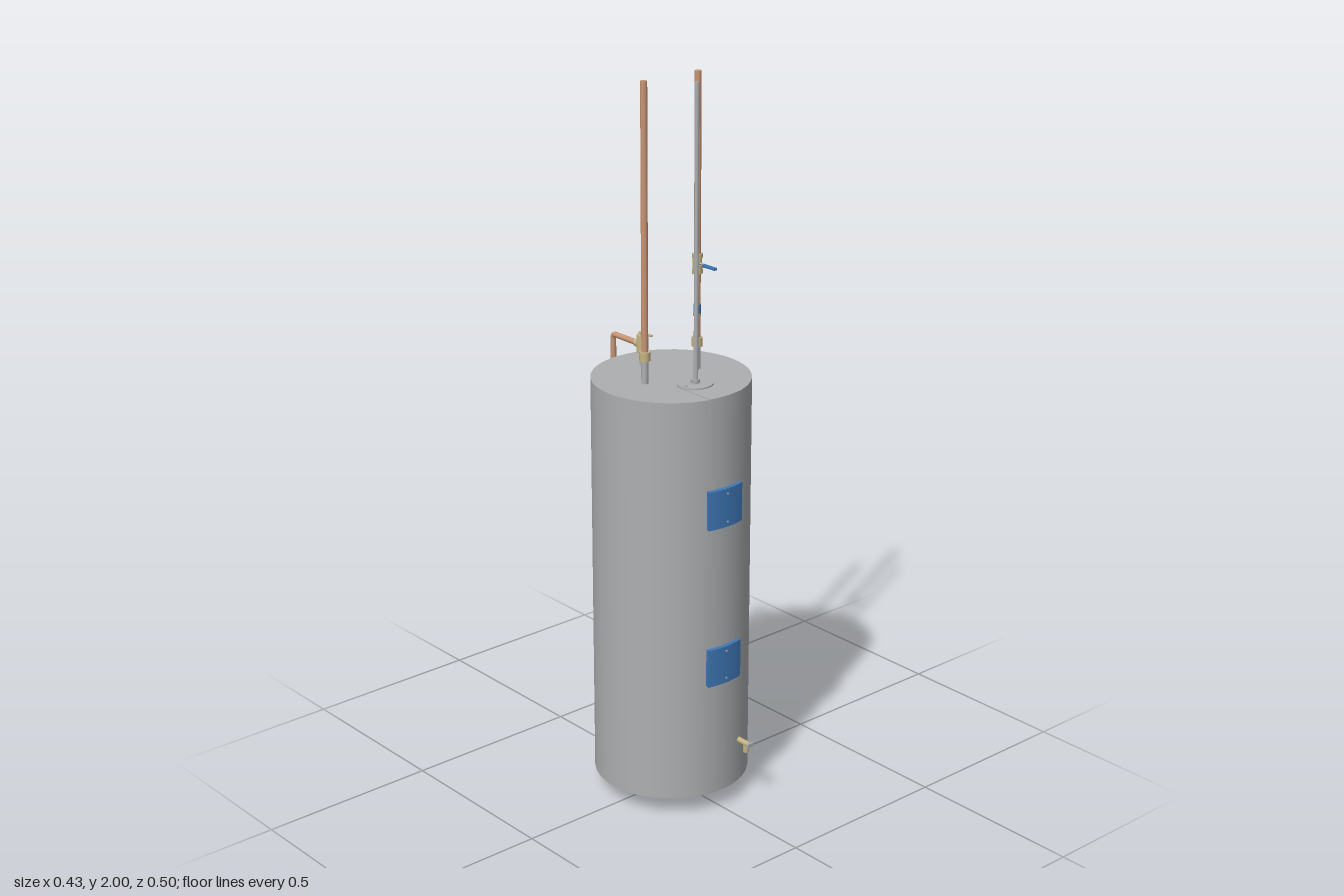
import * as THREE from 'three';

const mat = (name, color, side = THREE.FrontSide) => {
  const m = new THREE.MeshStandardMaterial({ color, side });
  m.name = name;
  return m;
};

export function createModel() {
  const root = new THREE.Group();
  root.name = 'waterHeater';
  const steel = mat('grey steel', 0xadafb1);
  const copper = mat('copper', 0xc79474);
  const brass = mat('brass', 0xc4b483);
  const blue = mat('blue', 0x3f78b8);
  const tankZ = -0.004, tankR = 0.213;

  const add = (name, geo, material, x = 0, y = 0, z = 0, parent = root) => {
    const m = new THREE.Mesh(geo, material);
    m.name = name;
    m.position.set(x, y, z);
    parent.add(m);
    return m;
  };
  // Upright cylinder between two heights
  const post = (name, r, y0, y1, x, z, material, sides = 20) =>
    add(name, new THREE.CylinderGeometry(r, r, y1 - y0, sides), material, x, (y0 + y1) / 2, z);
  // Cylinder lying along z
  const rod = (name, r, z0, z1, x, y, material, sides = 16) => {
    const m = add(name, new THREE.CylinderGeometry(r, r, z1 - z0, sides), material, x, y, (z0 + z1) / 2);
    m.rotation.x = Math.PI / 2;
    return m;
  };
  const box = (name, w, h, d, x, y, z, material) =>
    add(name, new THREE.BoxGeometry(w, h, d), material, x, y, z);
  // Upright curved plate that follows the front of the tank
  const curvedPlate = (name, r0, r1, halfAngle, y0, y1, material) => {
    const s = new THREE.Shape();
    const mid = -Math.PI / 2;
    s.absarc(0, 0, r1, mid - halfAngle, mid + halfAngle, false);
    s.absarc(0, 0, r0, mid + halfAngle, mid - halfAngle, true);
    const geo = new THREE.ExtrudeGeometry(s, { depth: y1 - y0, bevelEnabled: false, curveSegments: 10 });
    geo.rotateX(-Math.PI / 2);
    return add(name, geo, material, 0, y0, tankZ);
  };

  // Tank and its foot
  post('tank', tankR, 0.055, 1.2, 0, tankZ, steel, 40);
  box('foot', 0.137, 0.056, 0.015, 0, 0.028, -0.003, steel);

  // Element access panels with two screws each
  for (const y of [0.385, 0.84]) {
    curvedPlate('accessPanel', 0.207, 0.2245, 0.262, y, y + 0.108, blue);
    for (const dy of [0.014, 0.094]) rod('panelScrew', 0.003, 0.217, 0.2225, 0, y + dy, steel, 8);
  }

  // Wiring cover: thin lip over the top front edge, round plate, nut and conduit
  const lip = new THREE.Shape();
  lip.moveTo(-0.05, -0.092);
  lip.lineTo(0.05, -0.092);
  lip.lineTo(0.05, -0.203);
  lip.quadraticCurveTo(0, -0.217, -0.05, -0.203);
  lip.closePath();
  const lipGeo = new THREE.ExtrudeGeometry(lip, { depth: 0.003, bevelEnabled: false });
  lipGeo.rotateX(-Math.PI / 2);
  add('wiringCoverTop', lipGeo, steel, 0, 1.199, 0);
  curvedPlate('wiringCoverFront', 0.209, 0.2145, 0.236, 1.165, 1.202, steel);
  post('wiringPlate', 0.051, 1.199, 1.206, 0, 0.092, steel, 32).scale.z = 0.89;
  post('conduitNut', 0.0125, 1.206, 1.216, 0, 0.092, steel, 6);
  post('conduit', 0.006, 1.21, 2, 0, 0.094, steel, 12);
  for (const [x, z] of [[-0.038, 0.099], [0.031, 0.06]]) post('plateScrew', 0.003, 1.205, 1.209, x, z, steel, 8);

  // Hot and cold water pipes
  for (const x of [-0.091, 0.091]) {
    post('nipple', 0.0095, 1.195, 1.265, x, tankZ, steel);
    post('union', 0.0145, 1.262, 1.287, x, tankZ, brass);
    post('waterPipe', 0.009, 1.28, 2, x, tankZ, copper);
  }
  const cold = 0.091;
  post('blueBand', 0.0098, 1.353, 1.378, cold, tankZ, blue);
  post('redSideCoupling', 0.0105, 1.346, 1.352, cold, tankZ, copper).name = 'pipeCollar';

  // Shut-off valve with lever
  post('valveBody', 0.0125, 1.462, 1.515, cold, tankZ, brass);
  for (const y of [1.462, 1.505]) post('valveEnd', 0.0145, y, y + 0.012, cold, tankZ, brass, 6);
  rod('valveStem', 0.006, 0, 0.02, cold, 1.488, brass, 12);
  box('valveLever', 0.011, 0.006, 0.062, cold, 1.489, 0.036, blue);

  // Relief valve with test lever
  const rz = -0.12;
  post('reliefNipple', 0.0085, 1.195, 1.24, 0, rz, steel);
  post('reliefBody', 0.016, 1.235, 1.284, 0, rz, brass);
  post('reliefCap', 0.006, 1.28, 1.29, 0, rz, brass, 12);
  box('testLever', 0.009, 0.004, 0.048, 0, 1.289, -0.106, brass);
  rod('reliefOutlet', 0.0105, -0.145, -0.125, 0, 1.256, brass);

  // Discharge pipe bending down the back
  const path = new THREE.CurvePath();
  const v = (y, z) => new THREE.Vector3(0, y, z);
  path.add(new THREE.LineCurve3(v(1.256, -0.125), v(1.256, -0.23)));
  path.add(new THREE.QuadraticBezierCurve3(v(1.256, -0.23), v(1.256, -0.241), v(1.245, -0.241)));
  path.add(new THREE.LineCurve3(v(1.245, -0.241), v(0.172, -0.241)));
  add('dischargePipe', new THREE.TubeGeometry(path, 300, 0.0078, 14), copper);
  const end = add('dischargeEnd', new THREE.CircleGeometry(0.0078, 14), copper, 0, 0.172, -0.241);
  end.rotation.x = Math.PI / 2;

  // Drain valve
  const dx = 0.069;
  rod('drainBody', 0.0078, 0.19, 0.242, dx, 0.18, brass);
  post('drainSpout', 0.0075, 0.154, 0.18, dx, 0.227, brass, 14);
  box('drainHandle', 0.021, 0.012, 0.007, dx, 0.18, 0.2435, steel);
  return root;
}
